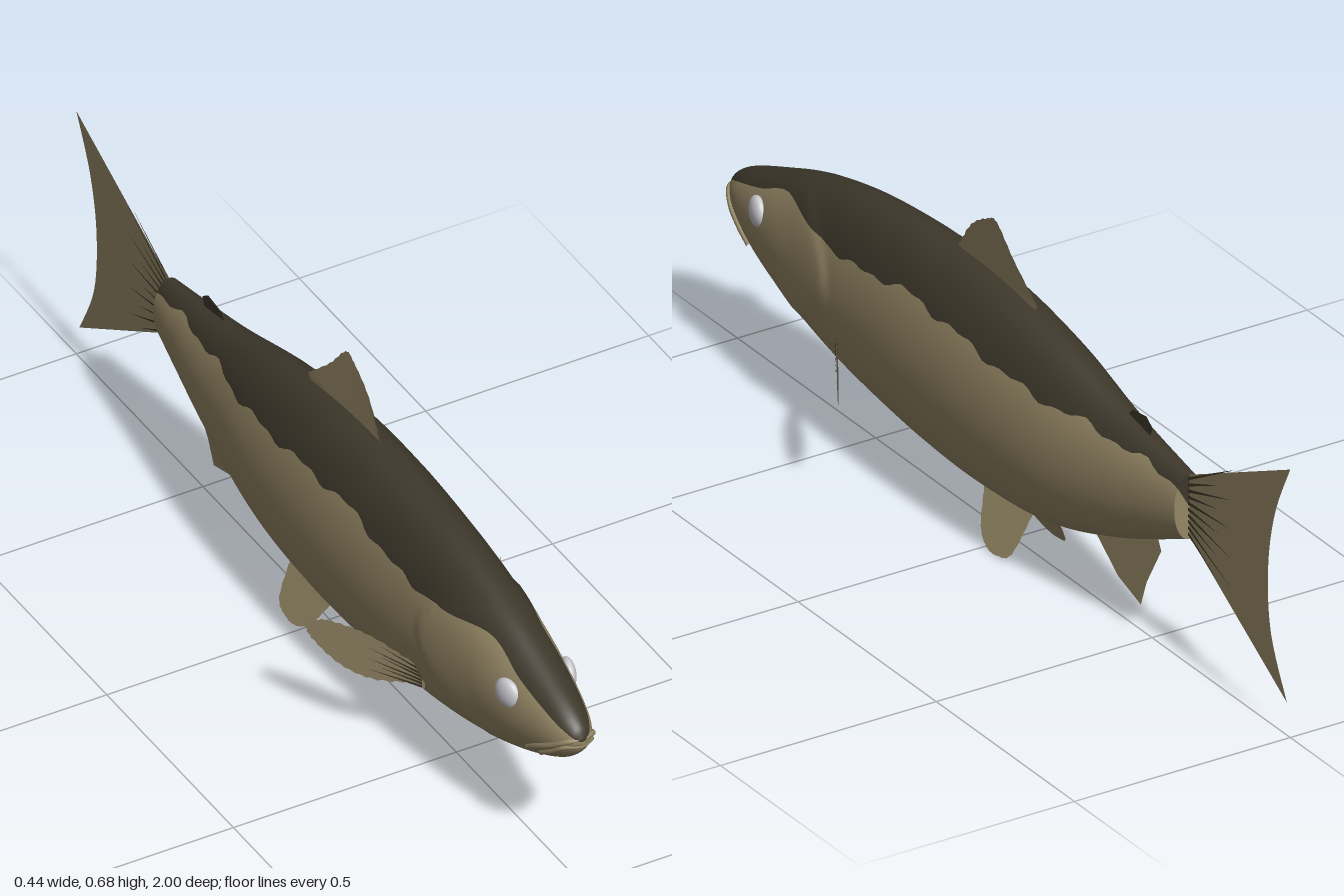
import * as THREE from 'three';

const mat = (name, color, extra = {}) => {
  const m = new THREE.MeshStandardMaterial({ color, ...extra });
  m.name = name;
  return m;
};

// Body stations from nose to tail root: z, top y, bottom y, half width, y of the dark back's edge
const STATIONS = [
  [1.0, 0.355, 0.34, 0.008, 0.35], [0.985, 0.378, 0.313, 0.028, 0.363], [0.94, 0.405, 0.275, 0.05, 0.382],
  [0.84, 0.445, 0.225, 0.073, 0.415], [0.73, 0.485, 0.185, 0.088, 0.455], [0.6, 0.52, 0.147, 0.097, 0.44],
  [0.46, 0.543, 0.12, 0.104, 0.43], [0.25, 0.557, 0.098, 0.113, 0.46], [0.04, 0.55, 0.092, 0.113, 0.448],
  [-0.18, 0.515, 0.112, 0.1, 0.425], [-0.4, 0.46, 0.178, 0.07, 0.42], [-0.635, 0.42, 0.277, 0.035, 0.4],
];
const ROWS = 132, UP = 16, LOW = 36, COLS = UP + LOW;

// Smoothly interpolated cross-sections
function makeSections() {
  const curves = [1, 2, 3, 4].map(k => new THREE.SplineCurve(STATIONS.map(s => new THREE.Vector2(s[0], s[k]))));
  return Array.from({ length: ROWS + 1 }, (_, i) => {
    const p = curves.map(c => c.getPoint(i / ROWS));
    return { z: p[0].x, c: (p[0].y + p[1].y) / 2, h: (p[0].y - p[1].y) / 2, w: p[2].y, edge: p[3].y };
  });
}

// Half width of the body at a given z and y
function surfaceX(sections, z, y) {
  const s = sections.find(q => q.z <= z) || sections[ROWS];
  return s.w * Math.sqrt(Math.max(0, 1 - ((y - s.c) / s.h) ** 2));
}

function bodyGeometry(sections) {
  const pos = [], upper = [], lower = [];
  const smooth = THREE.MathUtils.smoothstep;
  const ring = (s, scale) => {
    const fade = smooth(0.55 - s.z, 0, 0.1);
    const wave = fade * (0.006 * Math.sin(s.z * 33) + 0.004 * Math.sin(s.z * 71 + 1));
    const a = Math.asin(THREE.MathUtils.clamp((s.edge + wave - s.c) / s.h, -0.9, 0.9));
    for (let k = 0; k < COLS; k++) {
      const th = k < UP
        ? a + (Math.PI - 2 * a) * k / UP
        : Math.PI - a + (Math.PI + 2 * a) * (k - UP) / LOW;
      const y = s.c + s.h * Math.sin(th) * scale;
      // Gill cover stands slightly proud of the flank
      const g = 0.51 + 8 * (y - 0.355) ** 2;
      const gill = smooth(s.z, g, g + 0.03) * (1 - smooth(s.z, g + 0.03, g + 0.2));
      pos.push(s.w * Math.cos(th) * scale * (1 + 0.06 * gill), y, s.z);
    }
  };
  ring(sections[0], 0);
  sections.forEach(s => ring(s, 1));
  ring(sections[ROWS], 1); // repeated ring keeps the tail end sharp
  ring(sections[ROWS], 0);
  for (let i = 0; i < ROWS + 3; i++) {
    for (let k = 0; k < COLS; k++) {
      const n = (k + 1) % COLS, a = i * COLS + k, d = i * COLS + n;
      (k < UP ? upper : lower).push(a, a + COLS, d, a + COLS, d + COLS, d);
    }
  }
  const geo = new THREE.BufferGeometry();
  geo.setAttribute('position', new THREE.Float32BufferAttribute(pos, 3));
  geo.setIndex([...upper, ...lower]);
  geo.addGroup(0, upper.length, 0);
  geo.addGroup(upper.length, lower.length, 1);
  geo.computeVertexNormals();
  return geo;
}

// Flat outline (u, v) placed in space by a mapping rule
function sheet(points, map) {
  const geo = new THREE.ShapeGeometry(new THREE.Shape(points.map(p => new THREE.Vector2(p[0], p[1]))));
  const p = geo.attributes.position;
  for (let i = 0; i < p.count; i++) p.setXYZ(i, ...map(p.getX(i), p.getY(i)));
  geo.computeVertexNormals();
  return geo;
}

// Smooth outline with a finely toothed rim
function toothed(points, depth) {
  const pts = new THREE.SplineCurve(points.map(p => new THREE.Vector2(...p))).getPoints(points.length * 5);
  const mid = pts.reduce((m, p) => m.add(p), new THREE.Vector2()).divideScalar(pts.length);
  return pts.map((p, i) => p.clone().lerp(mid, i % 2 ? depth : 0).toArray());
}

// Thin tapering ray outline
function ray(u0, v0, u1, v1, half) {
  return [[u0, v0 - half], [u1, v1], [u0, v0 + half]];
}

export function createModel() {
  const fish = new THREE.Group();
  fish.name = 'fish';
  const back = mat('dark back', 0x3e382b);
  const flank = mat('tan flank', 0x968866);
  const fin = mat('tan fin', 0x968866, { side: THREE.DoubleSide });
  const dark = mat('dark fin', 0x3e382b, { side: THREE.DoubleSide });
  const white = mat('eye silver', 0xcacad0);
  const add = (name, geo, material) => {
    const m = new THREE.Mesh(geo, material);
    m.name = name;
    fish.add(m);
    return m;
  };

  const sections = makeSections();
  add('body', bodyGeometry(sections), [back, flank]);

  // Lips curving back and down from the snout
  const lip = (name, pts, r) => {
    const side = s => pts.map(([z, y]) => new THREE.Vector3(s * surfaceX(sections, z, y), y, z));
    const path = [...side(-1).reverse(), new THREE.Vector3(0, pts[0][1] + 0.003, 1.0 - r), ...side(1)];
    add(name, new THREE.TubeGeometry(new THREE.CatmullRomCurve3(path), 48, r, 8), flank);
  };
  lip('upperLip', [[0.985, 0.348], [0.955, 0.327], [0.91, 0.3], [0.875, 0.275]], 0.006);
  lip('lowerLip', [[0.98, 0.332], [0.95, 0.308], [0.91, 0.28]], 0.005);

  // Tail fin with rays on both faces
  const tailMap = x => (z, y) => [x, y, z];
  const trailing = new THREE.SplineCurve([[-1, 0.59], [-0.945, 0.47], [-0.92, 0.34], [-0.93, 0.2], [-0.988, 0.072]]
    .map(p => new THREE.Vector2(...p))).getPoints(24).map(p => p.toArray());
  add('tailFin', sheet([[-0.62, 0.285], [-0.62, 0.415], [-0.66, 0.43], ...trailing, [-0.66, 0.27]], tailMap(0)), fin);
  for (let i = 0; i < 10; i++) {
    const t = i / 9, y0 = 0.29 + 0.12 * t, reach = i % 2 ? 0.16 : 0.11;
    for (const x of [-0.003, 0.003]) {
      add('tailRay', sheet(ray(-0.635, y0, -0.635 - reach, y0 + (t - 0.5) * reach * 1.1, 0.0035), tailMap(x)), dark);
    }
  }

  // Fins along the midline
  const midMap = (z, y) => [Math.max(0, y - 0.55) * 0.08, y, z];
  add('dorsalFin', sheet([[0.21, 0.53], [0.2, 0.56],
    ...toothed([[0.2, 0.56], [0.145, 0.63], [0.08, 0.672], [0.045, 0.678], [-0.01, 0.615], [-0.085, 0.547]], 0.04),
    [-0.06, 0.51]], midMap), fin);
  add('adiposeFin', sheet([[-0.4, 0.44], [-0.43, 0.472], [-0.48, 0.478], [-0.502, 0.462], [-0.49, 0.43]], midMap), dark);
  add('analFin', sheet([[-0.28, 0.18], [-0.3, 0.148], [-0.39, 0.09], [-0.475, 0.065], [-0.49, 0.12],
    [-0.533, 0.205], [-0.52, 0.225], [-0.48, 0.26]], (z, y) => [0.01 * (0.2 - y) / 0.135, y, z]), fin);

  for (const s of [1, -1]) {
    const side = s > 0 ? 'left' : 'right';

    // Eye bulging from the head
    const eye = add(side + 'Eye', new THREE.SphereGeometry(1, 24, 16), white);
    eye.scale.set(0.016, 0.033, 0.033);
    eye.position.set(s * 0.067, 0.376, 0.822);
    eye.rotation.y = -s * 0.25;

    // Pectoral fin swept out and back
    const pectoral = off => (u, y) => [s * u, y, 0.51 - (u - 0.085) * 1.63 + off];
    add(side + 'PectoralFin', sheet([[0.08, 0.195], [0.08, 0.235],
      ...toothed([[0.1, 0.255], [0.14, 0.28], [0.175, 0.287], [0.205, 0.28], [0.22, 0.25],
        [0.205, 0.215], [0.175, 0.183], [0.14, 0.176], [0.1, 0.195]], 0.05)], pectoral(0)), fin);
    for (let i = 0; i < 6; i++) {
      const t = i / 5, y0 = 0.2 + 0.038 * t;
      for (const off of [-0.004, 0.004]) {
        add(side + 'PectoralRay', sheet(ray(0.085, y0, 0.15 - 0.015 * (i % 2), 0.2 + 0.065 * t, 0.003),
          pectoral(off)), dark);
      }
    }

    // Pelvic fin splayed downward
    add(side + 'PelvicFin', sheet([[0.07, 0.115],
      ...toothed([[0.065, 0.095], [0.03, 0.03], [-0.01, 0.004], [-0.05, 0.002], [-0.09, 0.02], [-0.105, 0.1]], 0.03),
      [-0.1, 0.125]], (z, y) => [s * (0.072 - 0.47 * y), y, z]), fin);
  }
  return fish;
}
